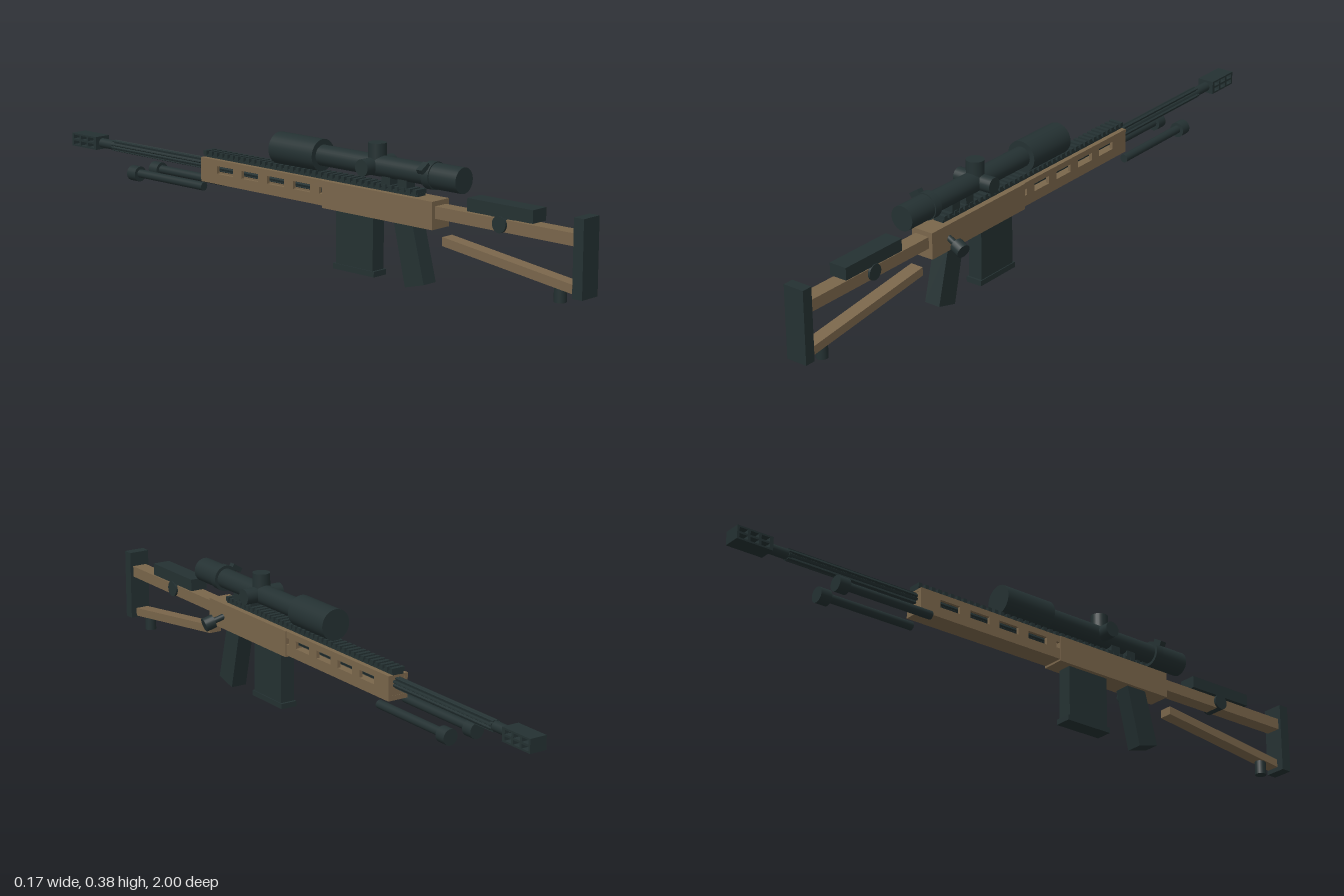
import * as THREE from 'three';

const dark = new THREE.MeshStandardMaterial({ color: 0x243132 });
dark.name = 'gunmetal';
const tan = new THREE.MeshStandardMaterial({ color: 0x7a664b });
tan.name = 'earth brown';

export function createModel() {
  const root = new THREE.Group();
  root.name = 'rifle';
  const body = new THREE.Group();
  body.name = 'body';
  body.position.x = -0.0175; // the bolt handle sticks out to one side
  root.add(body);

  const add = (name, geo, mat, x = 0, y = 0, z = 0) => {
    const m = new THREE.Mesh(geo, mat);
    m.name = name;
    m.position.set(x, y, z);
    body.add(m);
    return m;
  };
  // box given by width and its y and z ranges
  const box = (name, mat, w, y0, y1, z0, z1, x = 0) =>
    add(name, new THREE.BoxGeometry(w, y1 - y0, z1 - z0), mat, x, (y0 + y1) / 2, (z0 + z1) / 2);
  // cylinder along z
  const rod = (name, mat, r, z0, z1, x, y, seg = 24) =>
    add(name, new THREE.CylinderGeometry(r, r, z1 - z0, seg).rotateX(Math.PI / 2), mat, x, y, (z0 + z1) / 2);
  const rect = (T, a0, b0, a1, b1) =>
    new T([[a0, b0], [a1, b0], [a1, b1], [a0, b1]].map(p => new THREE.Vector2(...p)));
  // side profile in (z, y), extruded across the width
  const profile = (name, mat, shape, w, x = 0) => {
    const g = new THREE.ExtrudeGeometry(shape, { depth: w, bevelEnabled: false });
    g.translate(0, 0, -w / 2).rotateY(-Math.PI / 2); // (z, y, depth) -> world
    return add(name, g, mat, x);
  };

  // Stock
  box('buttPlate', dark, 0.065, 0.073, 0.286, 0.968, 1);
  box('stockBar', tan, 0.046, 0.208, 0.242, 0.48, 0.97);
  box('cheekRest', dark, 0.055, 0.247, 0.283, 0.61, 0.832);
  box('cheekRestPost', dark, 0.025, 0.235, 0.25, 0.68, 0.76);
  add('cheekRestKnob', new THREE.CylinderGeometry(0.023, 0.023, 0.06, 20).rotateZ(Math.PI / 2), dark, 0, 0.228, 0.72);
  profile('lowerStrut', tan, new THREE.Shape([[0.518, 0.136], [0.958, 0.081], [0.958, 0.106], [0.518, 0.161]]
    .map(p => new THREE.Vector2(...p))), 0.04);
  add('slingStud', new THREE.CylinderGeometry(0.017, 0.017, 0.045, 20), dark, 0, 0.07, 0.905);

  // Receiver, grip and magazine
  box('receiver', tan, 0.07, 0.178, 0.256, 0.085, 0.494);
  profile('grip', dark, new THREE.Shape([[0.346, 0.185], [0.39, 0], [0.458, 0.018], [0.414, 0.185]]
    .map(p => new THREE.Vector2(...p))), 0.05);
  box('magazine', dark, 0.045, 0.02, 0.185, 0.128, 0.268);
  box('magazineBase', dark, 0.051, 0.008, 0.024, 0.12, 0.275);

  // Bolt handle, sloping down to the left side
  const bolt = new THREE.Group();
  bolt.name = 'boltHandle';
  bolt.position.set(0.03, 0.216, 0.42);
  bolt.rotation.set(0, -0.2, -0.31);
  body.add(bolt);
  for (const [name, r, x0, x1] of [['boltShaft', 0.009, -0.01, 0.045], ['boltKnob', 0.021, 0.036, 0.067]]) {
    const m = new THREE.Mesh(new THREE.CylinderGeometry(r, r, x1 - x0, 20).rotateZ(Math.PI / 2), dark);
    m.name = name;
    m.position.x = (x0 + x1) / 2;
    bolt.add(m);
  }

  // Hollow handguard with slotted sides
  const side = rect(THREE.Shape, -0.41, 0.184, 0.088, 0.256);
  for (let i = 0; i < 4; i++) {
    const z = 0.003 - i * 0.104;
    side.holes.push(rect(THREE.Path, z - 0.034, 0.215, z + 0.034, 0.238));
  }
  side.holes.push(rect(THREE.Path, 0.072, 0.217, 0.086, 0.236));
  for (const s of [-1, 1]) profile('handguardSide', tan, side, 0.01, s * 0.027);
  box('handguardFloor', tan, 0.046, 0.184, 0.198, -0.41, 0.088);
  box('handguardRoof', tan, 0.046, 0.248, 0.256, -0.41, 0.088);
  box('handguardCap', tan, 0.046, 0.198, 0.248, -0.409, -0.395);

  // Toothed top rail
  box('railBase', dark, 0.034, 0.255, 0.265, -0.41, 0.425);
  for (let i = 0; i < 38; i++) {
    const z = -0.41 + i * 0.0222;
    box('railTooth', dark, 0.042, 0.262, 0.275, z, z + 0.0125);
  }

  // Fluted barrel
  const flutes = [];
  for (let i = 0; i < 32; i++) {
    const a = i / 32 * Math.PI * 2, r = i % 4 === 0 ? 0.012 : 0.0175;
    flutes.push(new THREE.Vector2(Math.cos(a) * r, Math.sin(a) * r));
  }
  add('flutedBarrel', new THREE.ExtrudeGeometry(new THREE.Shape(flutes), { depth: 0.91, bevelEnabled: false }),
    dark, 0, 0.232, -0.83);
  rod('barrelEnd', dark, 0.0145, -0.9, -0.82, 0, 0.232);

  // Muzzle brake with two rows of ports right through
  const brake = rect(THREE.Shape, -1, 0.213, -0.888, 0.253);
  for (let i = 0; i < 3; i++) for (const y of [0.218, 0.236]) {
    const z = -0.993 + i * 0.034;
    brake.holes.push(rect(THREE.Path, z, y, z + 0.026, y + 0.012));
  }
  profile('muzzleBrake', dark, brake, 0.053);

  // Folded bipod
  for (const s of [-1, 1]) {
    rod('bipodLeg', dark, 0.0125, -0.68, -0.385, s * 0.044, 0.173);
    rod('bipodFoot', dark, 0.023, -0.7, -0.665, s * 0.044, 0.171);
  }

  // Scope
  const sy = 0.32;
  rod('scopeTube', dark, 0.03, 0.04, 0.47, 0, sy, 32);
  rod('scopeObjective', dark, 0.046, -0.115, 0.056, 0, sy, 32);
  rod('scopeEyepiece', dark, 0.036, 0.457, 0.575, 0, sy, 32);
  rod('scopeZoomRing', dark, 0.039, 0.455, 0.48, 0, sy, 32);
  const lever = box('zoomLever', dark, 0.034, 0.338, 0.352, 0.455, 0.475, -0.04);
  lever.rotation.z = 0.56;
  for (const z of [0.37, 0.31]) {
    box('scopeMount', dark, 0.036, 0.268, 0.3, z - 0.016, z + 0.016);
  }
  add('elevationTurret', new THREE.CylinderGeometry(0.026, 0.026, 0.064, 24), dark, 0, 0.352, 0.263);
  add('sideTurrets', new THREE.CylinderGeometry(0.0235, 0.0235, 0.126, 24).rotateZ(Math.PI / 2), dark, 0.001, sy, 0.26);

  return root;
}
